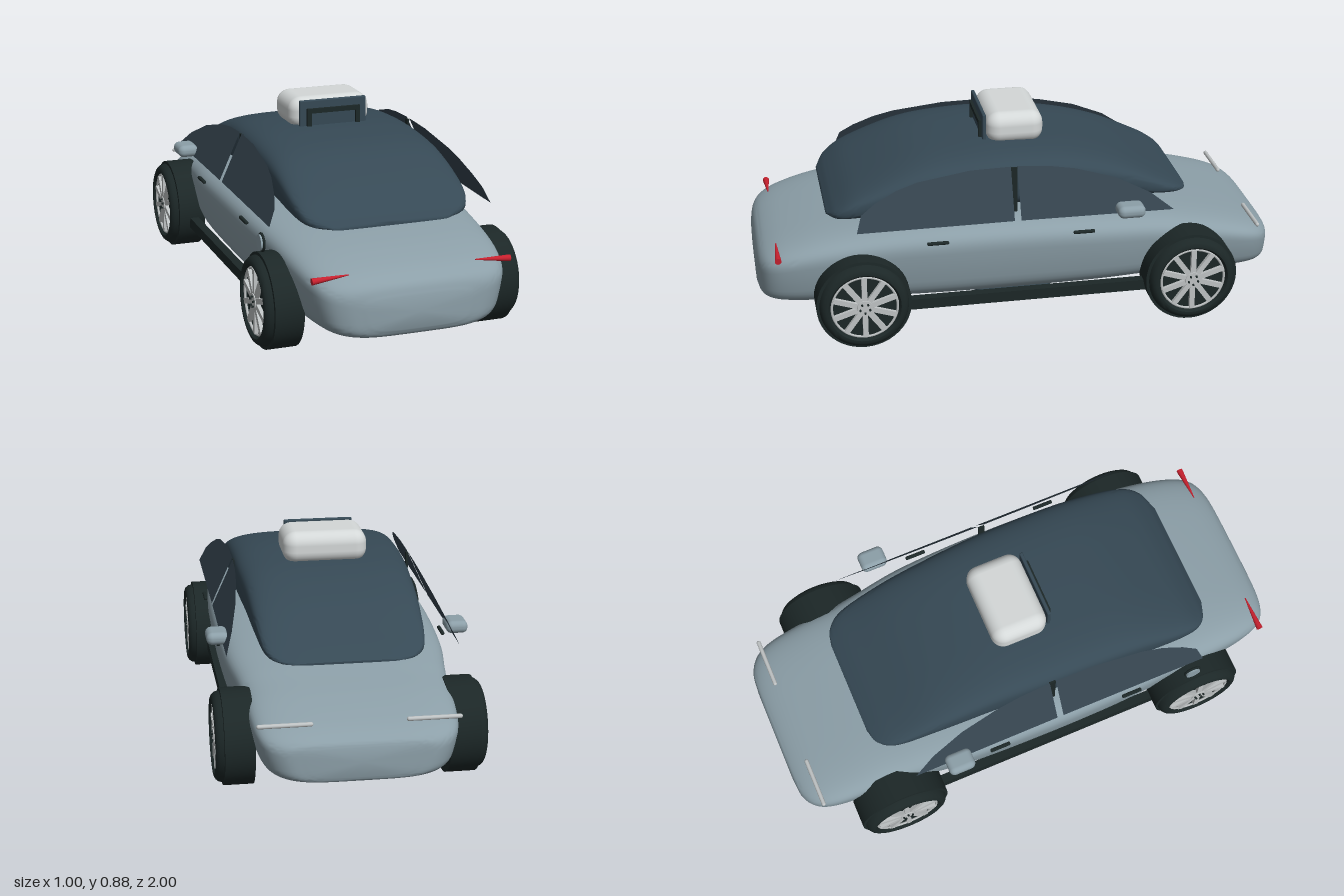
import * as THREE from 'three';
import { toCreasedNormals } from 'three/addons/utils/BufferGeometryUtils.js';
import { RoundedBoxGeometry } from 'three/addons/geometries/RoundedBoxGeometry.js';

const mat = (name, color, side = THREE.FrontSide) => {
  const m = new THREE.MeshStandardMaterial({ color, side });
  m.name = name;
  return m;
};

// Loft of superellipse sections [z, halfWidth, bottom, top], narrowed towards the bottom by taper
function loft(sections, power, taper, steps = 72, sides = 64) {
  const spine = (f) => new THREE.CatmullRomCurve3(sections.map(f), false, 'catmullrom', 0.5);
  const plan = spine((s) => new THREE.Vector3(s[0], s[1], 0));
  const heights = spine((s) => new THREE.Vector3(s[2], s[3], 0));
  const pos = [], idx = [];
  const bend = (v) => Math.sign(v) * Math.abs(v) ** (2 / power);
  for (let i = 0; i <= steps; i++) {
    const p = plan.getPoint(i / steps), h = heights.getPoint(i / steps);
    for (let j = 0; j < sides; j++) {
      const t = (j / sides) * Math.PI * 2;
      const v = (bend(Math.sin(t)) + 1) / 2;
      pos.push(p.y * bend(Math.cos(t)) * (1 - taper * (1 - v)), h.x + (h.y - h.x) * v, p.x);
    }
  }
  for (let i = 0; i < steps; i++) {
    for (let j = 0; j < sides; j++) {
      const a = i * sides + j, b = i * sides + ((j + 1) % sides);
      idx.push(a, b, a + sides, b, b + sides, a + sides);
    }
  }
  for (const end of [0, steps]) {
    const s = sections[end ? sections.length - 1 : 0];
    const c = pos.length / 3;
    pos.push(0, (s[2] + s[3]) / 2, s[0]);
    for (let j = 0; j < sides; j++) {
      const a = end * sides + j, b = end * sides + ((j + 1) % sides);
      idx.push(...(end ? [c, a, b] : [c, b, a]));
    }
  }
  const g = new THREE.BufferGeometry();
  g.setAttribute('position', new THREE.Float32BufferAttribute(pos, 3));
  g.setIndex(idx);
  return toCreasedNormals(g, 0.8);
}

export function createModel() {
  const car = new THREE.Group();
  car.name = 'car';
  const paint = mat('blue grey paint', 0x8c9fa8);
  const glass = mat('dark blue glass', 0x364955);
  const pane = mat('side glass', 0x35444f, THREE.DoubleSide);
  const rubber = mat('black rubber', 0x1c2727);
  const silver = mat('silver', 0xbfc3c4);
  const white = mat('white', 0xd4d8d8);
  const red = mat('red', 0xc8202e);

  const add = (name, geo, material, x = 0, y = 0, z = 0, parent = car) => {
    const m = new THREE.Mesh(geo, material);
    m.name = name;
    m.position.set(x, y, z);
    parent.add(m);
    return m;
  };
  const box = (name, w, h, d, material, x, y, z) =>
    add(name, new THREE.BoxGeometry(w, h, d), material, x, y, z);
  const soft = (name, w, h, d, r, material, x, y, z) =>
    add(name, new RoundedBoxGeometry(w, h, d, 4, r), material, x, y, z);

  // Body shell and glass canopy
  add('body', loft([
    [-1, 0.2, 0.25, 0.36], [-0.99, 0.285, 0.232, 0.38], [-0.95, 0.345, 0.222, 0.405],
    [-0.88, 0.376, 0.217, 0.43], [-0.75, 0.391, 0.215, 0.463], [-0.62, 0.396, 0.215, 0.487],
    [-0.5, 0.41, 0.215, 0.508], [-0.3, 0.437, 0.215, 0.532], [0, 0.447, 0.215, 0.549],
    [0.3, 0.443, 0.215, 0.548], [0.55, 0.423, 0.215, 0.532], [0.75, 0.405, 0.215, 0.504],
    [0.88, 0.38, 0.217, 0.472], [0.95, 0.345, 0.222, 0.444], [0.985, 0.285, 0.232, 0.415],
    [1, 0.2, 0.255, 0.375],
  ], 4.4, 0.125), paint);
  add('canopy', loft([
    [-0.67, 0.19, 0.548, 0.556], [-0.65, 0.25, 0.548, 0.57], [-0.58, 0.295, 0.548, 0.61],
    [-0.4, 0.315, 0.548, 0.697], [-0.2, 0.325, 0.548, 0.752], [0, 0.335, 0.548, 0.77],
    [0.2, 0.338, 0.548, 0.768], [0.4, 0.338, 0.548, 0.74], [0.6, 0.332, 0.548, 0.66],
    [0.69, 0.3, 0.548, 0.6], [0.73, 0.22, 0.548, 0.558],
  ], 3.8, 0), glass);

  // Leaning side window outlines in (z, y)
  const windows = {
    rearWindow: [[0.045, 0.56], [0.635, 0.558], [0.615, 0.618], [0.56, 0.655], [0.48, 0.692], [0.4, 0.715], [0.2, 0.742], [0.045, 0.745]],
    frontWindow: [[0.02, 0.56], [0.02, 0.745], [-0.1, 0.738], [-0.2, 0.723], [-0.35, 0.683], [-0.48, 0.622], [-0.565, 0.558]],
  };
  // Wheel profile: wide inner tread, narrower rounded outer tyre, recessed rim
  const tyre = toCreasedNormals(new THREE.LatheGeometry([
    [0, 0.355], [0.178, 0.355], [0.178, 0.464], [0.167, 0.465], [0.163, 0.48], [0.155, 0.49],
    [0.145, 0.495], [0.136, 0.495], [0.128, 0.485], [0.127, 0.472], [0, 0.472],
  ].map((p) => new THREE.Vector2(...p)), 48), 0.6);
  const rimRing = new THREE.TorusGeometry(0.123, 0.005, 6, 48).rotateX(Math.PI / 2);

  for (const s of [1, -1]) {
    for (const [name, outline] of Object.entries(windows)) {
      const g = new THREE.ShapeGeometry(new THREE.Shape(outline.map((p) => new THREE.Vector2(...p))));
      const p = g.attributes.position;
      for (let i = 0; i < p.count; i++) {
        const z = p.getX(i), y = p.getY(i);
        p.setXYZ(i, s * (0.347 + (0.745 - y) * 0.45), y, z);
      }
      // Wind the triangles so the face looks outwards
      const order = Array.from(g.index.array);
      g.setIndex(s > 0 ? order.reverse() : order);
      g.computeVertexNormals();
      add(name, g, pane);
    }
    box('doorPillar', 0.007, 0.18, 0.025, rubber, s * 0.344, 0.65, 0.032);
    box('sideSkirt', 0.035, 0.042, 0.98, rubber, s * 0.402, 0.24, 0);
    soft('mirror', 0.082, 0.048, 0.105, 0.022, paint, s * 0.45, 0.58, -0.392);
    for (const z of [0.335, -0.22]) {
      soft('doorHandle', 0.014, 0.012, 0.082, 0.005, rubber, s * 0.434, 0.495, z);
    }

    // Light bars at one end, tapering lamps at the other
    const bar = add('lightBar', new THREE.CapsuleGeometry(0.008, 0.184, 4, 12), silver, s * 0.265, 0.427, -0.925);
    bar.rotation.z = Math.PI / 2;
    const lamp = add('redLamp', new THREE.CylinderGeometry(0.0125, 0.002, 0.136, 20), red, s * 0.307, 0.448, 0.924);
    lamp.rotation.z = -s * (Math.PI / 2 + 0.07);

    for (const z of [0.62, -0.637]) {
      const wheel = new THREE.Group();
      wheel.name = 'wheel';
      wheel.position.set(0, 0.28, z);
      wheel.rotation.z = -s * Math.PI / 2;
      car.add(wheel);
      add('tyre', tyre, rubber, 0, 0, 0, wheel);
      add('rimRing', rimRing, silver, 0, 0.482, 0, wheel);
      add('hub', new THREE.CylinderGeometry(0.03, 0.034, 0.02, 20), silver, 0, 0.482, 0, wheel);
      for (let i = 0; i < 10; i++) {
        const spoke = new THREE.BoxGeometry(0.1, 0.014, 0.02).translate(0.073, 0.482, 0);
        add('spoke', spoke, silver, 0, 0, 0, wheel).rotation.y = (i / 10) * Math.PI * 2;
      }
      for (let i = 0; i < 5; i++) {
        const a = (i / 5) * Math.PI * 2;
        add('wheelNut', new THREE.CylinderGeometry(0.004, 0.004, 0.014, 8), rubber,
          Math.cos(a) * 0.019, 0.492, Math.sin(a) * 0.019, wheel);
      }
    }
  }

  // Round charging flap on one flank
  const flapRing = add('flapRing', new THREE.TorusGeometry(0.031, 0.005, 8, 28), rubber, -0.446, 0.49, 0.59);
  flapRing.rotation.y = Math.PI / 2;
  const flap = add('flap', new THREE.CylinderGeometry(0.029, 0.029, 0.016, 28), paint, -0.449, 0.49, 0.59);
  flap.rotation.z = Math.PI / 2;

  // Roof unit with framed screen
  soft('roofUnit', 0.326, 0.125, 0.22, 0.05, white, 0, 0.8125, -0.01);
  soft('screenPanel', 0.27, 0.11, 0.014, 0.005, glass, 0, 0.816, 0.108);
  box('screenFrameTop', 0.215, 0.018, 0.012, rubber, 0, 0.83, 0.12);
  for (const s of [1, -1]) box('screenFrameSide', 0.017, 0.07, 0.012, rubber, s * 0.099, 0.798, 0.12);

  // Underside unit with base plate and stepped arm
  soft('undersideUnit', 0.302, 0.09, 0.215, 0.03, white, 0, 0.2, -0.005);
  soft('basePlate', 0.374, 0.062, 0.296, 0.02, glass, 0, 0.135, 0);
  soft('armBlock', 0.108, 0.038, 0.045, 0.012, glass, -0.002, 0.087, -0.004);
  box('armTab', 0.062, 0.02, 0.05, silver, 0.08, 0.096, -0.004);
  soft('armPost', 0.042, 0.1, 0.042, 0.008, rubber, -0.031, 0.05, -0.006);
  return car;
}
